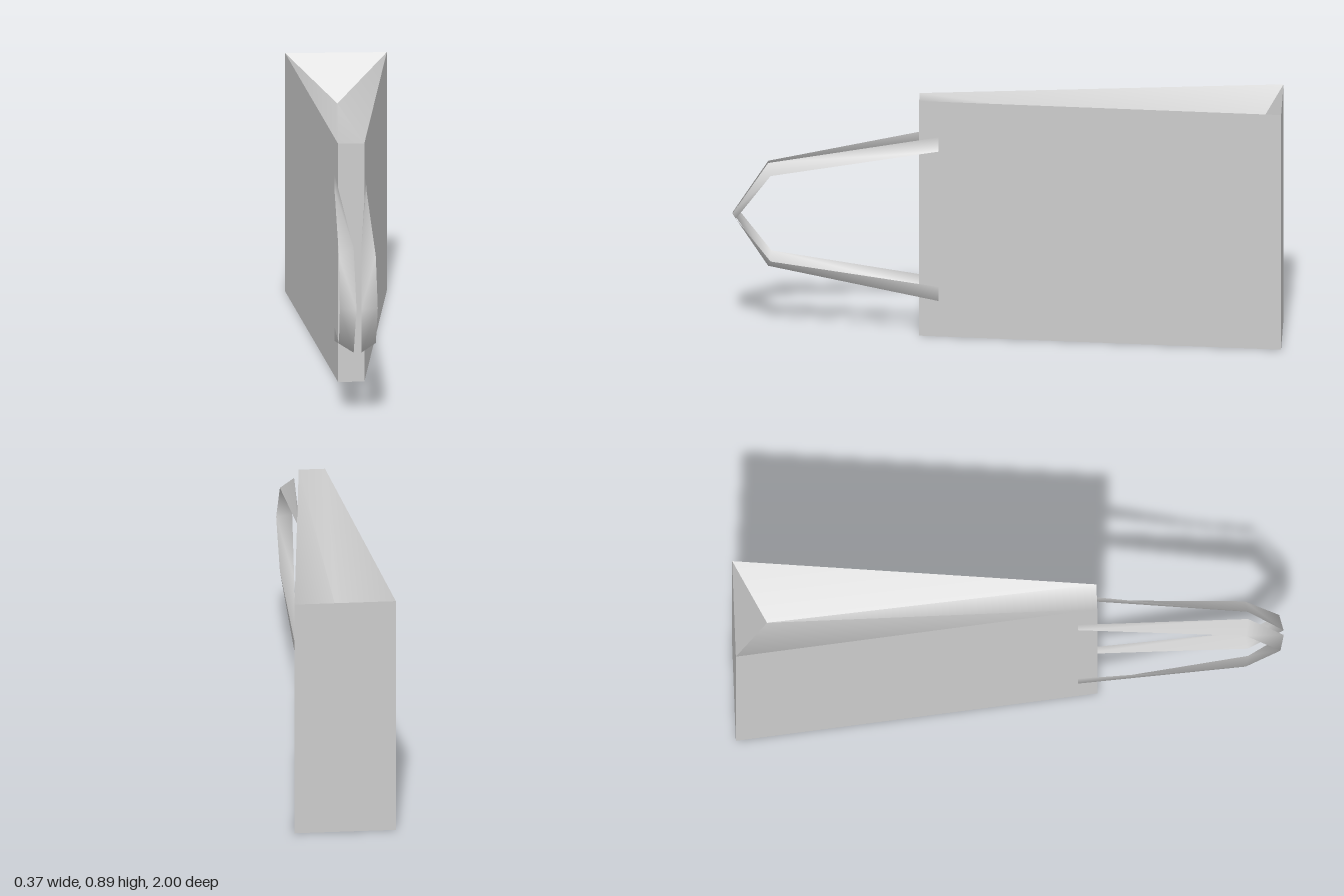
import * as THREE from 'three';
import { toCreasedNormals } from 'three/addons/utils/BufferGeometryUtils.js';

const H = 0.895;        // height of the bag
const MID = H / 2;      // mirror plane of the gussets and handles
const grey = new THREE.MeshStandardMaterial({ color: 0xcccccc, side: THREE.DoubleSide });

function indexed(points, index) {
  const geo = new THREE.BufferGeometry();
  geo.setAttribute('position', new THREE.Float32BufferAttribute(points.flat(), 3));
  geo.setIndex(index);
  geo.computeVertexNormals();
  return geo;
}

// Wedge-shaped bag with gussets folded inwards above and below
function bagBody() {
  const f = 0.048, b = 0.185, zf = 0.32, zb = -1, fold = 0.16, zFold = -0.88;
  const points = [
    [-f, 0, zf], [f, 0, zf], [f, H, zf], [-f, H, zf],
    [-b, 0, zb], [b, 0, zb], [b, H, zb], [-b, H, zb],
    [0, H - fold, zFold], [0, fold, zFold],
  ];
  const index = [];
  const quad = (p, q, r, s) => index.push(p, q, r, p, r, s);
  quad(0, 1, 2, 3); // front
  quad(5, 4, 7, 6); // back
  quad(1, 5, 6, 2); // left side
  quad(4, 0, 3, 7); // right side
  const fan = (ring, tip) => ring.forEach((p, i) => index.push(p, ring[(i + 1) % 4], tip));
  fan([3, 2, 6, 7], 8); // upper gusset
  fan([0, 4, 5, 1], 9); // lower gusset
  return toCreasedNormals(indexed(points, index), THREE.MathUtils.degToRad(55));
}

// Flat ribbon that twists from the bag wall to the tip; side is +1 or -1
function handleStrap(side) {
  // pairs of edge points, y measured from the mirror plane
  const half = [
    [[0.057, 0.312, 0.25], [0.058, 0.258, 0.25]],
    [[0.014, 0.196, 0.87], [0.067, 0.163, 0.86]],
  ];
  const tip = [[0.009, 0, 1], [0.069, 0, 0.986]];
  const lower = half.map((pair) => pair.map(([x, y, z]) => [x, -y, z])).reverse();
  const sections = [...half, tip, ...lower];
  const points = sections.flat().map(([x, y, z]) => [side * x, MID + y, z]);
  const index = [];
  for (let i = 0; i < sections.length - 1; i++) {
    const a = 2 * i;
    index.push(a, a + 2, a + 1, a + 1, a + 2, a + 3);
  }
  return indexed(points, index);
}

export function createModel() {
  const group = new THREE.Group();
  group.name = 'bag';
  const add = (name, geo) => {
    const mesh = new THREE.Mesh(geo, grey);
    mesh.name = name;
    group.add(mesh);
  };
  add('bagBody', bagBody());
  add('leftHandle', handleStrap(1));
  add('rightHandle', handleStrap(-1));
  return group;
}
